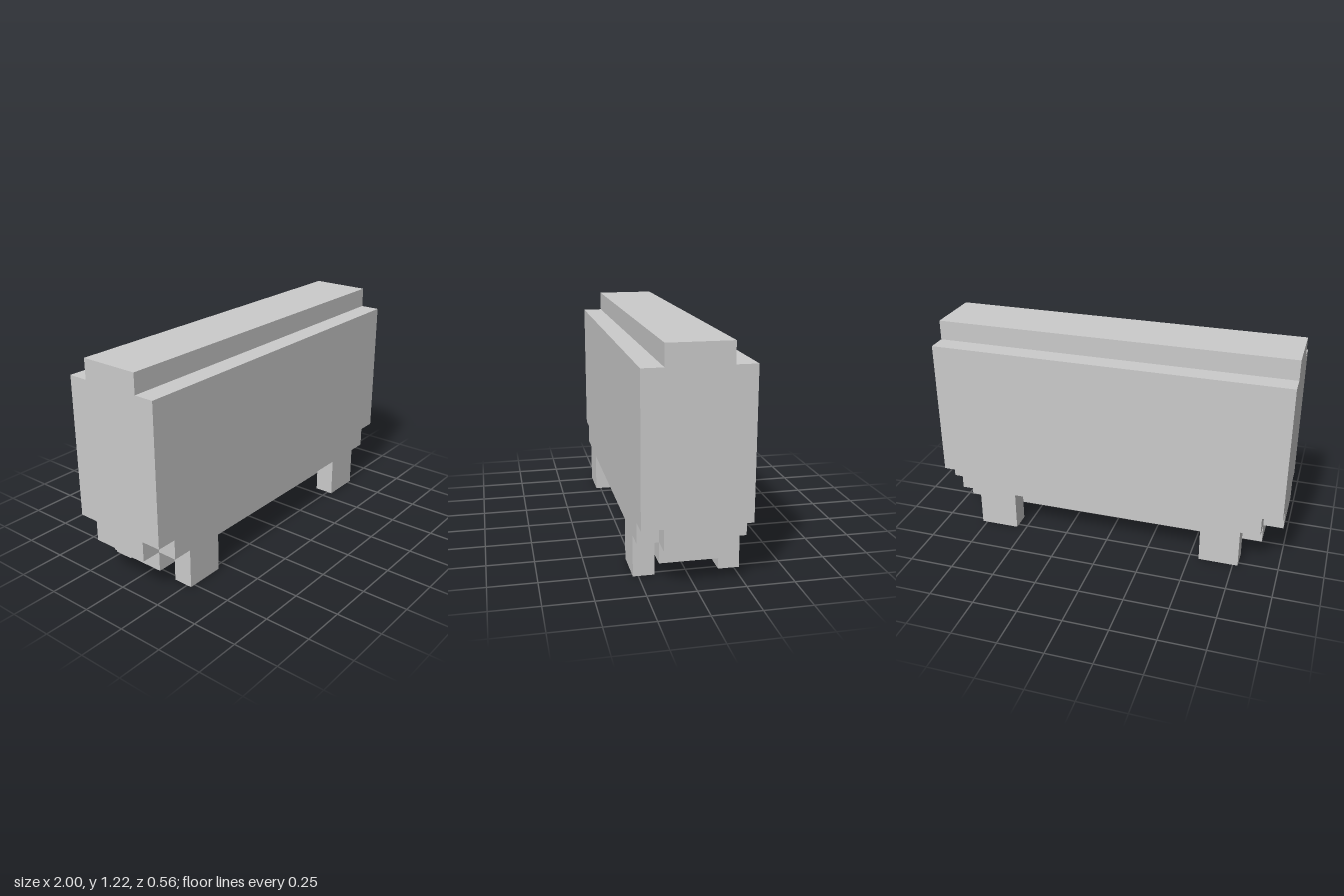
import * as THREE from 'three';

const U = 1 / 9; // one block

export function createModel() {
  const group = new THREE.Group();
  const material = new THREE.MeshStandardMaterial({ color: 0xcccccc, flatShading: true });

  // Mirrors a right-half outline (in blocks, bottom to top) and extrudes it along z.
  function addSlab(name, half, z0, z1) {
    const mirrored = half.map(([x, y]) => [-x, y]).reverse();
    const points = [...half, ...mirrored].map(([x, y]) => new THREE.Vector2(x * U, y * U));
    const geometry = new THREE.ExtrudeGeometry(new THREE.Shape(points), {
      depth: (z1 - z0) * U,
      bevelEnabled: false,
    });
    geometry.translate(0, 0, z0 * U);
    const mesh = new THREE.Mesh(geometry, material);
    mesh.name = name;
    group.add(mesh);
  }

  // Taller middle body with notched lower ends
  addSlab('coreBody', [[8, 1], [8, 2], [9, 2], [9, 11]], -1.5, 1.5);

  // Side panels with stepped lower corners and two legs each
  const panel = [[5, 2], [5, 0], [7, 0], [7, 2], [8, 2], [8, 3], [9, 3], [9, 10]];
  addSlab('frontPanelWithLegs', panel, 1.5, 2.5);
  addSlab('backPanelWithLegs', panel, -2.5, -1.5);

  return group;
}
